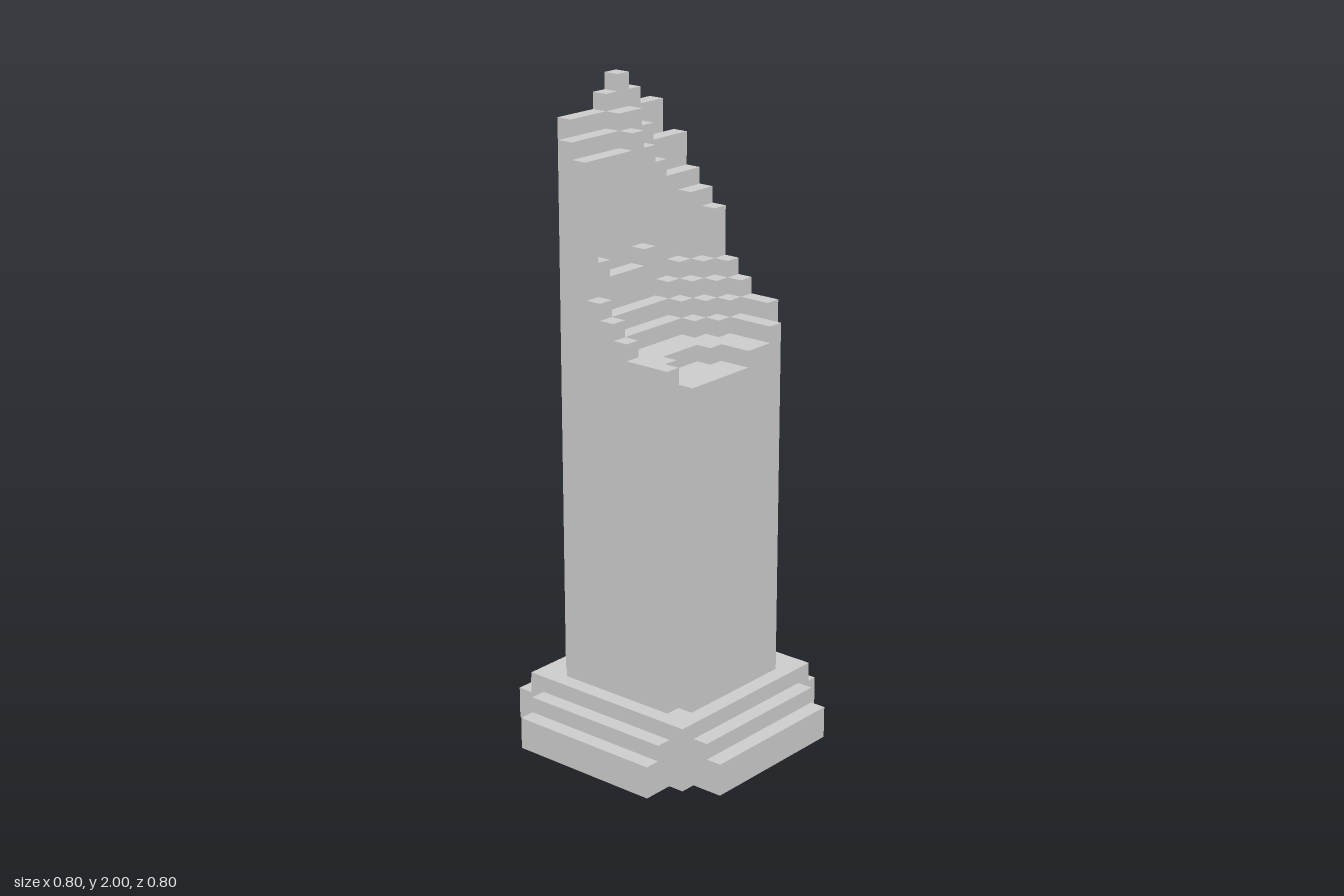
import * as THREE from 'three';

const CELL = 0.05;
const BREAK_Y = 1.2; // where the broken top begins

// Cells above BREAK_Y: one line per x step (left to right), from back to front
const HEIGHTS = [
  [0, 14, 14, 15, 16, 15, 14, 14, 14, 0],
  [12, 12, 12, 13, 14, 14, 13, 13, 13, 13],
  [10, 10, 10, 11, 12, 13, 12, 12, 12, 12],
  [9, 9, 5, 4, 3, 3, 3, 3, 3, 4],
  [8, 5, 4, 3, 2, 2, 2, 2, 2, 3],
  [5, 4, 3, 2, 1, 1, 1, 1, 1, 2],
  [4, 3, 2, 1, 1, 1, 1, 1, 1, 1],
  [3, 2, 1, 1, 1, 0, 0, 0, 1, 1],
  [3, 2, 1, 1, 0, 0, 0, 0, 0, 1],
  [0, 2, 1, 1, 0, 0, 0, 0, 0, 0],
];

// Rounded recess in the inner wall: a 5 x 5 patch without its corners
function inRecess(x, y, z) {
  const dy = Math.abs(y - 7), dz = Math.abs(z - 6);
  return x === 2 && dy <= 2 && dz <= 2 && dy + dz < 4;
}

function isSolid([x, y, z]) {
  if (y < 0) return true; // closed by the shaft below
  return y < (HEIGHTS[x]?.[z] ?? 0) && !inRecess(x, y, z);
}

// Skin of exposed cell faces
function brokenTopGeometry() {
  const positions = [];
  const corners = [[0, 0], [1, 0], [1, 1], [0, 0], [1, 1], [0, 1]];
  const addFace = (cell, axis, sign) => {
    const u = (axis + 1) % 3, v = (axis + 2) % 3;
    for (const [a, b] of corners) {
      const p = [...cell];
      p[axis] += sign > 0 ? 1 : 0;
      p[u] += sign > 0 ? a : b;
      p[v] += sign > 0 ? b : a;
      positions.push((p[0] - 5) * CELL, BREAK_Y + p[1] * CELL, (p[2] - 5) * CELL);
    }
  };
  for (let x = 0; x < 10; x++)
    for (let z = 0; z < 10; z++)
      for (let y = 0; y < HEIGHTS[x][z]; y++) {
        const cell = [x, y, z];
        if (!isSolid(cell)) continue;
        for (let axis = 0; axis < 3; axis++)
          for (const sign of [-1, 1]) {
            const next = [...cell];
            next[axis] += sign;
            if (!isSolid(next)) addFace(cell, axis, sign);
          }
      }
  const geometry = new THREE.BufferGeometry();
  geometry.setAttribute('position', new THREE.Float32BufferAttribute(positions, 3));
  geometry.computeVertexNormals();
  return geometry;
}

function extrude(points, depth) {
  const shape = new THREE.Shape(points.map(([x, y]) => new THREE.Vector2(x, y)));
  return new THREE.ExtrudeGeometry(shape, { depth, bevelEnabled: false });
}

export function createModel() {
  const group = new THREE.Group();
  const material = new THREE.MeshStandardMaterial({ color: 0xcccccc, flatShading: true });
  const add = (name, geometry) => {
    const mesh = new THREE.Mesh(geometry, material);
    mesh.name = name;
    group.add(mesh);
    return mesh;
  };

  // Square plinth
  add('plinth', new THREE.BoxGeometry(0.6, 0.2, 0.6).translate(0, 0.1, 0));

  // Two-tread step on each side of the plinth
  const step = extrude([[0.3, 0], [0.4, 0], [0.4, 0.1], [0.35, 0.1], [0.35, 0.15], [0.3, 0.15]], 0.5)
    .translate(0, 0, -0.25);
  for (let i = 0; i < 4; i++) add('plinthStep', step).rotation.y = i * Math.PI / 2;

  // Shaft with notched corners
  const a = 0.25, b = 0.2;
  const plan = [
    [a, -b], [a, b], [b, b], [b, a], [-b, a], [-b, b],
    [-a, b], [-a, -b], [-b, -b], [-b, -a], [b, -a], [b, -b],
  ];
  add('shaft', extrude(plan, BREAK_Y - 0.2).rotateX(-Math.PI / 2).translate(0, 0.2, 0));

  // Stepped, broken upper end
  add('brokenTop', brokenTopGeometry());

  return group;
}
